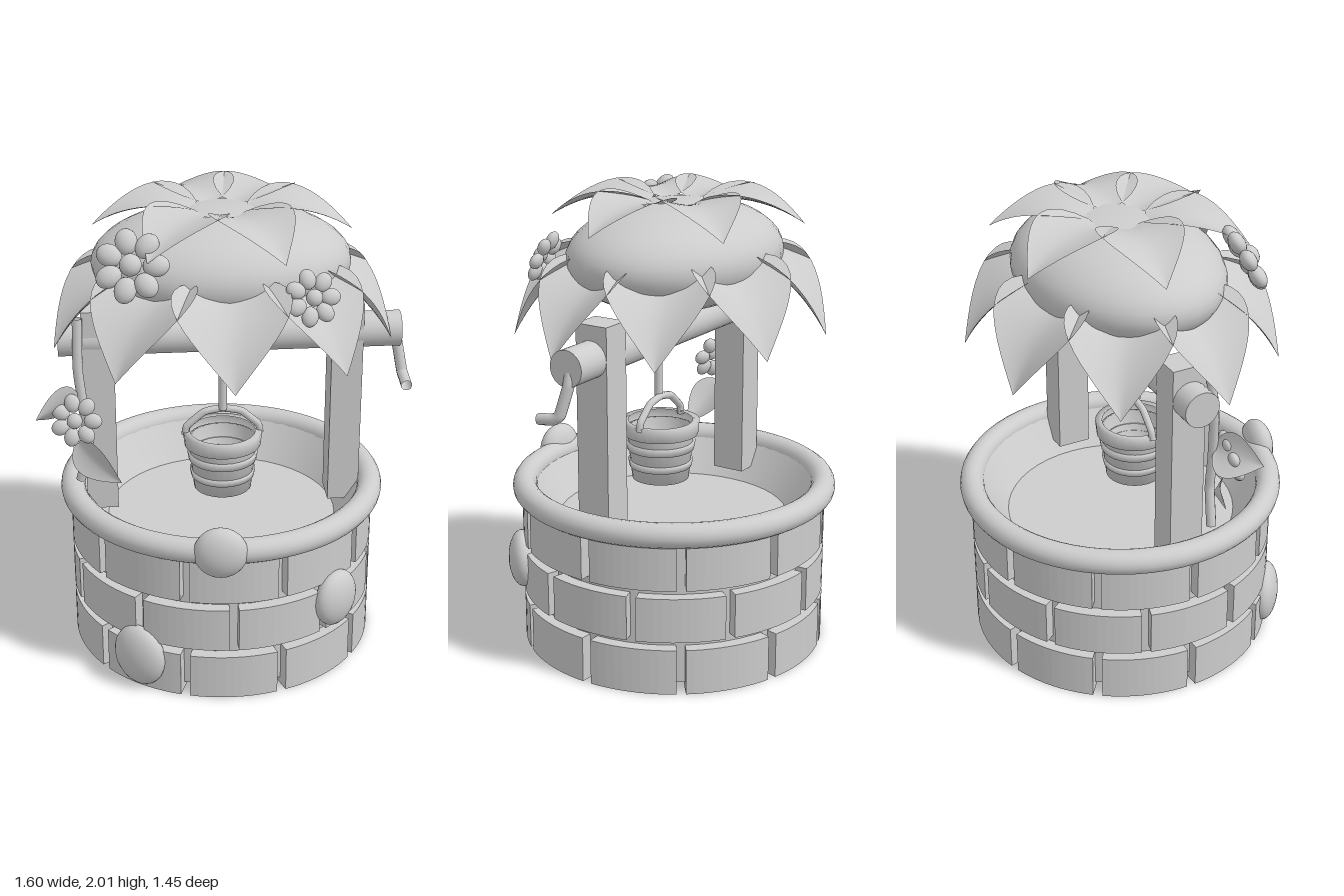
import * as THREE from 'three';

const clay = new THREE.MeshStandardMaterial({ color: 0xcccccc, side: THREE.DoubleSide });
clay.name = 'pale grey clay';

const V = (x, y, z) => new THREE.Vector3(x, y, z);
const lathe = (pts, n = 48) => new THREE.LatheGeometry(pts.map(p => new THREE.Vector2(p[0], p[1])), n);

function add(parent, name, geometry, x = 0, y = 0, z = 0) {
  const mesh = new THREE.Mesh(geometry, clay);
  mesh.name = name;
  mesh.position.set(x, y, z);
  parent.add(mesh);
  return mesh;
}

function tube(parent, name, pts, radius) {
  const curve = new THREE.CatmullRomCurve3(pts.map(p => V(...p)), false, 'catmullrom', 0.2);
  return add(parent, name, new THREE.TubeGeometry(curve, 32, radius, 10));
}

// One curved brick: an arc-shaped slab, height along y
function brickGeometry(height) {
  const half = Math.PI / 10 - 0.03;
  const s = new THREE.Shape();
  s.absarc(0, 0, 0.665, -half, half, false);
  s.absarc(0, 0, 0.575, half, -half, true);
  const g = new THREE.ExtrudeGeometry(s, { depth: height, bevelEnabled: false, curveSegments: 5 });
  return g.rotateX(-Math.PI / 2);
}

// Cupped, pointed petal following a profile of three (radius, height) points, pointing to +z
function petalGeometry(profile, halfWidth, cup) {
  const curve = new THREE.QuadraticBezierCurve(...profile.map(p => new THREE.Vector2(p[0], p[1])));
  const g = new THREE.PlaneGeometry(2, 1, 10, 14);
  const pos = g.attributes.position;
  for (let i = 0; i < pos.count; i++) {
    const s = pos.getX(i), t = 0.5 - pos.getY(i);
    const p = curve.getPoint(t), d = curve.getTangent(t);
    const w = Math.sin(Math.PI * Math.pow(0.04 + 0.96 * t, 0.68));
    const lift = cup * Math.pow(Math.abs(s), 1.6) * w;
    pos.setXYZ(i, s * w * halfWidth, p.y + d.x * lift, p.x - d.y * lift);
  }
  g.computeVertexNormals();
  return g;
}

// Flower of ball petals around a round centre, facing a given direction
function flower(parent, x, y, z, radius, dir) {
  const f = new THREE.Group();
  f.name = 'flower';
  f.position.set(x, y, z);
  f.quaternion.setFromUnitVectors(V(0, 0, 1), V(...dir).normalize());
  const ball = new THREE.SphereGeometry(1, 16, 12);
  add(f, 'flowerCentre', ball, 0, 0, 0.02).scale.set(radius * 0.3, radius * 0.3, radius * 0.25);
  for (let i = 0; i < 7; i++) {
    const a = i / 7 * Math.PI * 2;
    const p = add(f, 'flowerPetal', ball, Math.cos(a) * radius * 0.66, Math.sin(a) * radius * 0.66, 0);
    p.rotation.z = a;
    p.scale.set(radius * 0.36, radius * 0.3, radius * 0.22);
  }
  parent.add(f);
}

// Pointed leaf, running from its stalk to its tip
function leaf(parent, from, to, halfWidth, roll) {
  const a = V(...from), b = V(...to), len = a.distanceTo(b);
  const g = petalGeometry([[0, 0], [len * 0.5, 0.03], [len, 0]], halfWidth, 0.025);
  const m = add(parent, 'leaf', g, ...from);
  m.quaternion.setFromUnitVectors(V(0, 0, 1), b.sub(a).normalize());
  m.rotateZ(roll);
}

export function createModel() {
  const model = new THREE.Group();
  model.name = 'wishingWell';

  // Round wall: three staggered rows of bricks around a recessed mortar ring
  const wall = new THREE.Group();
  wall.name = 'wall';
  wall.position.set(-0.007, 0, -0.013);
  model.add(wall);
  [[0, 0.2], [0.235, 0.195], [0.465, 0.19]].forEach(([y, h], row) => {
    const g = brickGeometry(h);
    for (let i = 0; i < 10; i++) {
      add(wall, 'brick', g, 0, y, 0).rotation.y = -Math.PI / 2 + (i + (row % 2) / 2) * Math.PI / 5;
    }
  });
  add(wall, 'mortar', lathe([[0.595, 0.03], [0.613, 0.03], [0.613, 0.66], [0.595, 0.66], [0.595, 0.03]]));
  const rim = add(wall, 'rim', new THREE.TorusGeometry(0.655, 0.053, 16, 64), 0, 0.707, -0.003);
  rim.rotation.x = Math.PI / 2;
  add(wall, 'innerLip', lathe([[0.5, 0.55], [0.56, 0.64], [0.62, 0.735]]));
  add(wall, 'water', new THREE.CircleGeometry(0.51, 48).rotateX(-Math.PI / 2), 0, 0.555, 0);

  // Stones set into the wall
  [[-0.065, 0.715, 0.66, 0.112, 0.112], [-0.4, 0.15, 0.52, 0.125, 0.14], [0.44, 0.375, 0.49, 0.115, 0.127]]
    .forEach(([x, y, z, rx, ry]) => {
      const s = add(model, 'stone', new THREE.SphereGeometry(1, 24, 16), x, y, z);
      s.scale.set(rx, ry, 0.062);
      s.rotation.y = Math.atan2(x, z);
    });

  // Posts, cross beam and crank
  for (const side of [-1, 1]) {
    add(model, 'post', new THREE.BoxGeometry(0.135, 0.92, 0.15), side * 0.53 - 0.003, 1.08, -0.015);
  }
  add(model, 'beam', new THREE.CylinderGeometry(0.077, 0.077, 1.46, 24).rotateZ(Math.PI / 2), 0.03, 1.4, -0.012);
  tube(model, 'crank', [[0.74, 1.38, -0.02], [0.755, 1.33, -0.02], [0.775, 1.21, 0.01],
    [0.78, 1.19, 0.04], [0.78, 1.18, 0.11]], 0.024);

  // Rope and bucket
  add(model, 'rope', new THREE.CylinderGeometry(0.018, 0.018, 0.34, 12), -0.007, 1.25, 0.065);
  const bucket = new THREE.Group();
  bucket.name = 'bucket';
  bucket.position.set(-0.007, 0, 0.055);
  model.add(bucket);
  add(bucket, 'bucketBody', lathe([[0, 0.71], [0.125, 0.71], [0.15, 0.94], [0.135, 0.94], [0.115, 0.74], [0, 0.74]], 28));
  for (const [y, h, r] of [[0.915, 0.06, 0.172], [0.845, 0.035, 0.154], [0.765, 0.03, 0.143]]) {
    add(bucket, 'bucketBand', lathe([[r - 0.03, y], [r - 0.006, y], [r, y + h], [r - 0.03, y + h]], 28));
  }
  tube(bucket, 'bucketHandle', [[-0.163, 0.96, 0], [-0.155, 1.0, 0], [-0.08, 1.065, 0], [0, 1.08, 0],
    [0.08, 1.065, 0], [0.155, 1.0, 0], [0.163, 0.96, 0]], 0.016);

  // Roof: flattened dome with nine drooping petals and a crown of six
  const roof = new THREE.Group();
  roof.name = 'roof';
  roof.position.set(-0.005, 0, -0.012);
  model.add(roof);
  add(roof, 'dome', new THREE.SphereGeometry(1, 32, 20), 0, 1.73, -0.015).scale.set(0.545, 0.23, 0.42);

  const skirt = new THREE.Group();
  skirt.name = 'lowerPetals';
  skirt.scale.set(1.06, 1, 0.95);
  roof.add(skirt);
  const lower = petalGeometry([[0.33, 1.72], [0.53, 1.68], [0.68, 1.4]], 0.225, 0.08);
  for (let i = 0; i < 9; i++) add(skirt, 'lowerPetal', lower).rotation.y = i * Math.PI * 2 / 9;

  const upper = petalGeometry([[0.11, 1.945], [0.32, 2.01], [0.54, 1.87]], 0.175, 0.045);
  for (let i = 0; i < 6; i++) {
    add(roof, 'upperPetal', upper, 0, 0, -0.015).rotation.y = THREE.MathUtils.degToRad(23 + i * 60);
  }

  // Flowers, vine and leaves
  flower(model, -0.39, 1.845, 0.35, 0.15, [-0.2, 0.5, 0.85]);
  flower(model, 0.32, 1.715, 0.42, 0.115, [0.2, 0.4, 0.9]);
  flower(model, -0.635, 1.1, 0.17, 0.112, [-0.25, 0.3, 0.9]);
  tube(model, 'vine', [[-0.615, 1.52, 0.07], [-0.62, 1.3, 0.09], [-0.6, 1.1, 0.1],
    [-0.585, 0.95, 0.1], [-0.625, 0.78, 0.09]], 0.021);
  leaf(model, [-0.62, 1.15, 0.1], [-0.8, 1.13, 0.22], 0.095, 1.2);
  leaf(model, [-0.63, 0.97, 0.12], [-0.45, 0.81, 0.2], 0.085, 1.2);

  return model;
}
